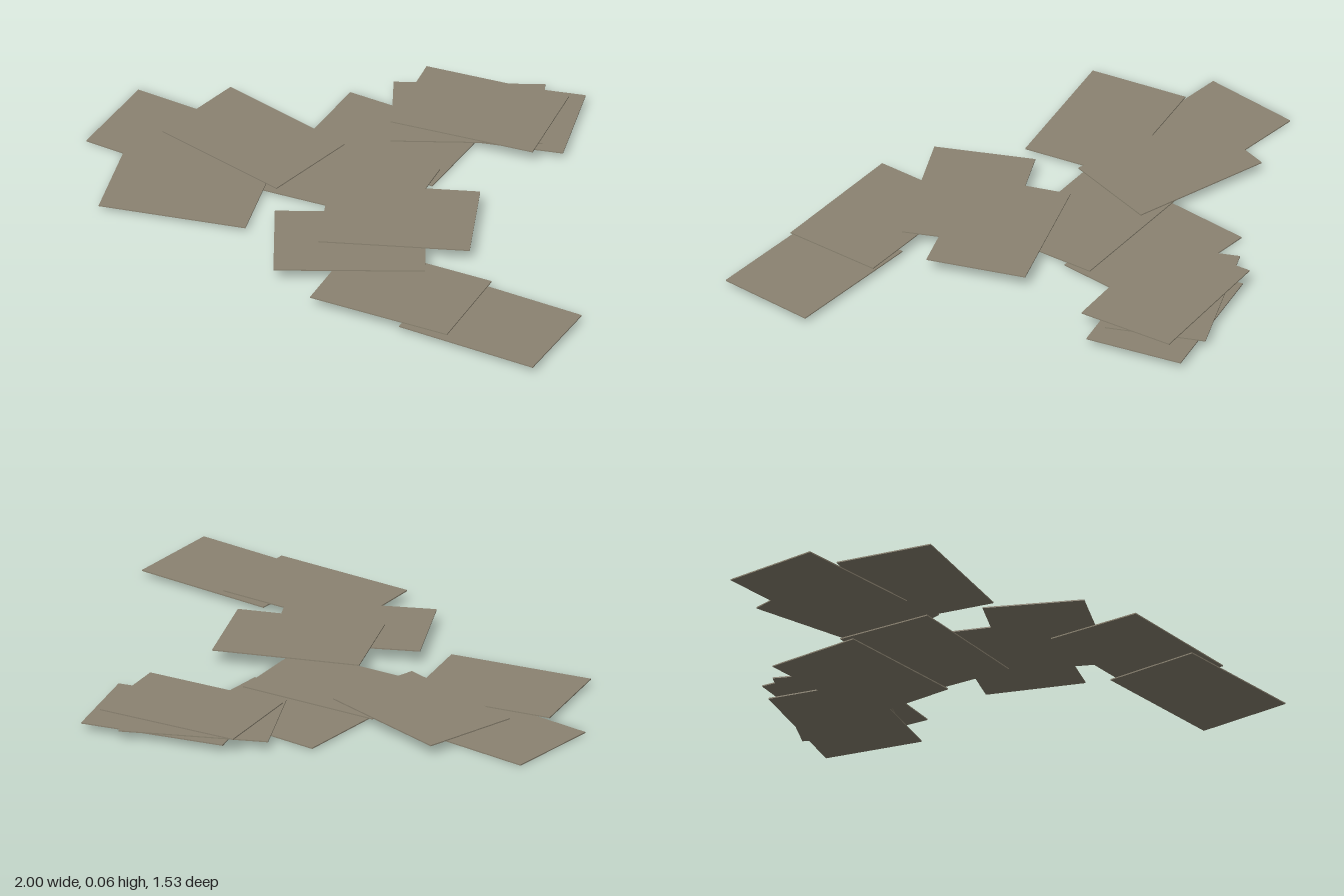
import * as THREE from 'three';

// Loose pile of identical flat sheets, each one resting slightly above the last
const LENGTH = 0.48, WIDTH = 0.327, THICKNESS = 0.004, STEP = 0.0048;

// Lowest to highest: centre x, centre z, turn in degrees
const SHEETS = [
  [-0.724, 0.308, 16.8],
  [-0.251, -0.174, 18],
  [-0.172, 0.077, 24],
  [-0.485, 0.498, 32.2],
  [0.717, 0.298, 18.8],
  [-0.095, -0.5, 34.4],
  [-0.168, -0.428, 45.4],
  [-0.523, 0.168, 5.8],
  [0.416, 0.405, 21.5],
  [0.115, 0.345, 46.3],
  [0.128, 0.143, 41.2],
  [-0.132, -0.445, 26.6],
];

export function createModel() {
  const group = new THREE.Group();
  group.name = 'scatteredSheets';

  const material = new THREE.MeshStandardMaterial({ color: 0x8b8371 });
  material.name = 'dull khaki';
  const geometry = new THREE.BoxGeometry(LENGTH, THICKNESS, WIDTH);

  SHEETS.forEach(([x, z, turn], i) => {
    const sheet = new THREE.Mesh(geometry, material);
    sheet.name = `sheet${i + 1}`;
    sheet.position.set(x, THICKNESS / 2 + i * STEP, z);
    sheet.rotation.y = THREE.MathUtils.degToRad(turn);
    group.add(sheet);
  });

  return group;
}
